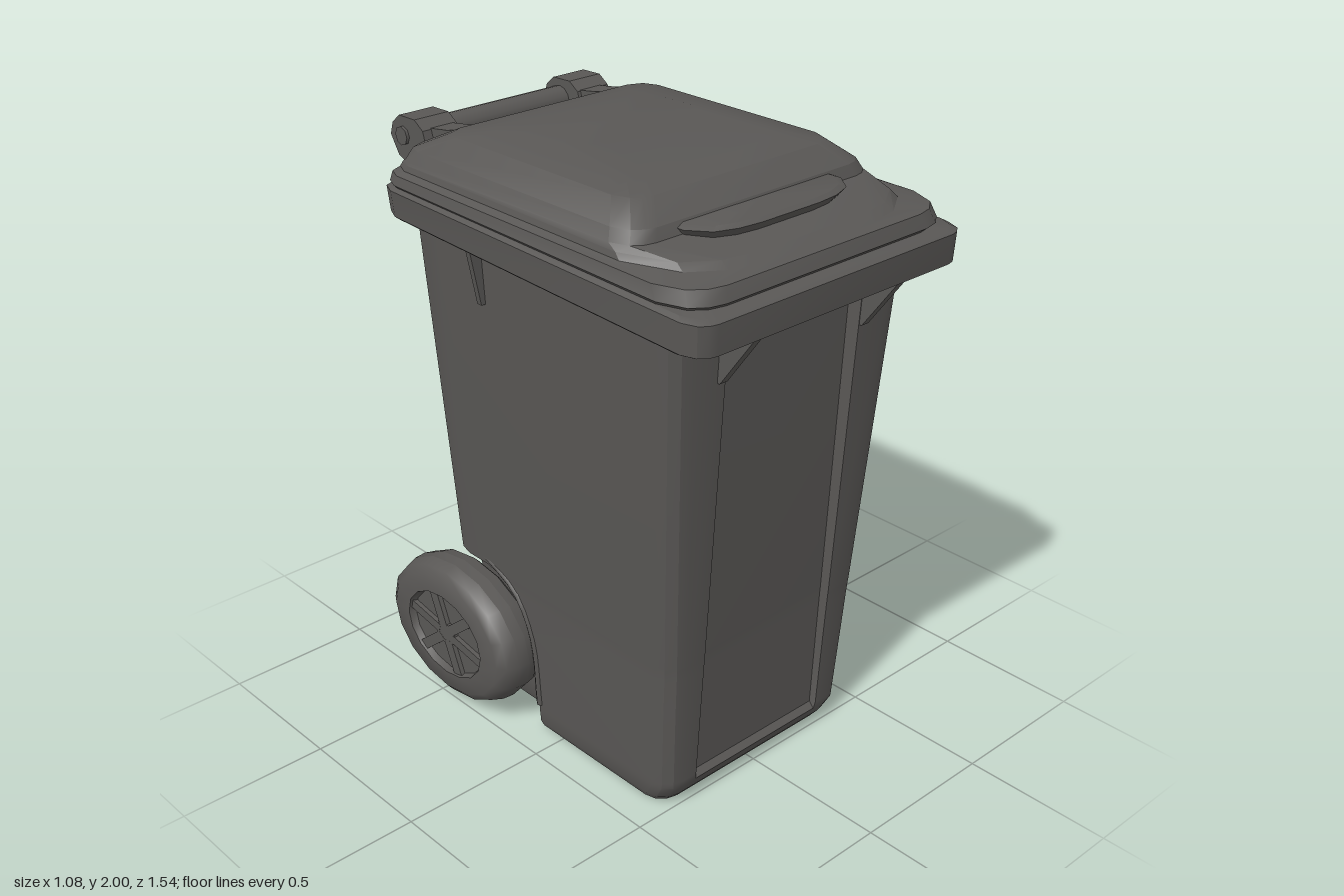
import * as THREE from 'three';
import { toCreasedNormals } from 'three/addons/utils/BufferGeometryUtils.js';

const plastic = new THREE.MeshStandardMaterial({ color: 0x595755 });
plastic.name = 'dark grey plastic';

// Half outline (front to back) mirrored to a closed ring
const mirrorRing = half => [...half, ...half.slice().reverse().map(([x, z]) => [-x, z])];

// Rounded rectangle with separate front corner cut (rx, rz) and back corner radius
function ring({ w, zf, zb, rx = 0.07, rz = rx, rb = 0.07, y, tilt = 0 }) {
  return mirrorRing([
    [w - rx, zf], [w - 0.6 * rx, zf - 0.09 * rz], [w - 0.25 * rx, zf - 0.35 * rz], [w, zf - rz],
    [w, zb + rb], [w - 0.3 * rb, zb + 0.3 * rb], [w - rb, zb],
  ]).map(([x, z]) => [x, y + tilt * z, z]);
}

// Body section: sunk front and back panels (df, db); rear corners cut in by n behind zn for the wheels
function bodyRing({ w, zf, zb, df, db, n = 0, zn, rb, y }) {
  const r = 0.07, v = w - n;
  return mirrorRing([
    [0.268, zf - df], [0.275, zf], [w - r, zf], [w - 0.5 * r, zf - 0.13 * r], [w - 0.13 * r, zf - 0.5 * r],
    [w, zf - r], [w, zn], [v, zn],
    [v, zb + rb], [v - 0.13 * rb, zb + 0.5 * rb], [v - 0.5 * rb, zb + 0.13 * rb], [v - rb, zb],
    [0.29, zb], [0.283, zb + db],
  ]).map(([x, z]) => [x, y, z]);
}

// Skin a stack of rings from bottom to top and cap both ends
function loft(rings, crease = 0.5) {
  const pos = [];
  const tri = (a, b, c) => pos.push(...a, ...b, ...c);
  const mid = r => [0, 1, 2].map(k => {
    const v = r.map(p => p[k]);
    return (Math.min(...v) + Math.max(...v)) / 2;
  });
  const n = rings[0].length, last = rings[rings.length - 1];
  const low = mid(rings[0]), high = mid(last);
  for (let j = 0; j < n; j++) {
    const k = (j + 1) % n;
    tri(low, rings[0][k], rings[0][j]);
    for (let i = 0; i < rings.length - 1; i++) {
      const [a, b, c, d] = [rings[i][j], rings[i][k], rings[i + 1][k], rings[i + 1][j]];
      tri(a, b, c);
      tri(a, c, d);
    }
    tri(high, last[j], last[k]);
  }
  const g = new THREE.BufferGeometry();
  g.setAttribute('position', new THREE.Float32BufferAttribute(pos, 3));
  return toCreasedNormals(g, crease);
}

const flatShape = pts => new THREE.Shape(pts.map(p => new THREE.Vector2(...p)));

// Plate with a (z, y) side profile, centred on x
function sidePlate(pts, x, width) {
  return new THREE.ExtrudeGeometry(flatShape(pts), { depth: width, bevelEnabled: false })
    .rotateY(-Math.PI / 2).translate(x + width / 2, 0, 0);
}

function createWheel() {
  const wheel = new THREE.Group();
  const add = (name, g) => {
    const m = new THREE.Mesh(g, plastic);
    m.name = name;
    wheel.add(m);
  };
  // Tyre with a tapered outer face and shallow rim, axis along x
  const profile = [
    [0, -0.045], [0.55, -0.045], [0.62, -0.075], [0.88, -0.08], [0.97, -0.06], [1, -0.02],
    [0.99, 0.02], [0.94, 0.06], [0.84, 0.08], [0.6, 0.083], [0.57, 0.06], [0, 0.06],
  ].map(p => new THREE.Vector2(...p));
  add('tyre', toCreasedNormals(
    new THREE.LatheGeometry(profile, 16).rotateZ(-Math.PI / 2).toNonIndexed(), 0.6));
  add('hub', new THREE.CylinderGeometry(0.16, 0.16, 0.15, 10).rotateZ(-Math.PI / 2));
  for (let i = 0; i < 6; i++) {
    add('spoke', new THREE.BoxGeometry(0.025, 0.48, 0.13).translate(0.063, 0.34, 0)
      .rotateX(i * Math.PI / 3 + 0.3));
  }
  wheel.scale.set(1, 0.246, 0.326);
  return wheel;
}

export function createModel() {
  const model = new THREE.Group();
  model.name = 'wheeledBin';
  const add = (name, g) => {
    const m = new THREE.Mesh(g, plastic);
    m.name = name;
    model.add(m);
  };

  // Tapered body with sunk panels and wheel cut-outs at the rear
  add('body', loft([
    { y: 0.005, w: 0.38, zf: 0.465, zb: -0.42, df: 0, db: 0.015, n: 0.075, zn: -0.1, rb: 0.01 },
    { y: 0.03, w: 0.393, zf: 0.485, zb: -0.435, df: 0, db: 0.015, n: 0.08, zn: -0.1, rb: 0.01 },
    { y: 0.08, w: 0.397, zf: 0.513, zb: -0.44, df: 0, db: 0.015, n: 0.08, zn: -0.1, rb: 0.01 },
    { y: 0.1, w: 0.398, zf: 0.515, zb: -0.442, df: 0.02, db: 0.015, n: 0.08, zn: -0.1, rb: 0.01 },
    { y: 0.38, w: 0.41, zf: 0.533, zb: -0.468, df: 0.025, db: 0.025, n: 0.09, zn: -0.11, rb: 0.01 },
    { y: 0.5, w: 0.414, zf: 0.541, zb: -0.5, df: 0.027, db: 0.035, n: 0.09, zn: -0.17, rb: 0.01 },
    { y: 0.54, w: 0.416, zf: 0.544, zb: -0.515, df: 0.028, db: 0.04, n: 0.09, zn: -0.28, rb: 0.01 },
    { y: 0.55, w: 0.417, zf: 0.545, zb: -0.518, df: 0.028, db: 0.04, zn: -0.32, rb: 0.1 },
    { y: 1.74, w: 0.482, zf: 0.622, zb: -0.587, df: 0.045, db: 0.04, zn: -0.42, rb: 0.12 },
  ].map(bodyRing)));

  // Rim skirt around the top of the body
  add('rim', loft([
    { w: 0.47, zf: 0.61, zb: -0.57, y: 1.72, tilt: -0.035 },
    { w: 0.525, zf: 0.745, zb: -0.6, y: 1.69, tilt: -0.035 },
    { w: 0.537, zf: 0.765, zb: -0.61, y: 1.70, tilt: -0.035 },
    { w: 0.54, zf: 0.77, zb: -0.62, y: 1.785, tilt: -0.025 },
    { w: 0.525, zf: 0.75, zb: -0.61, y: 1.795, tilt: -0.025 },
  ].map(ring)));

  // Stepped lid rising to a domed panel
  add('lid', loft([
    { w: 0.515, zf: 0.71, zb: -0.59, rx: 0.13, y: 1.785, tilt: -0.02 },
    { w: 0.533, zf: 0.73, zb: -0.61, rx: 0.13, y: 1.805, tilt: -0.02 },
    { w: 0.525, zf: 0.715, zb: -0.605, rx: 0.14, y: 1.84, tilt: -0.01 },
    { w: 0.5, zf: 0.685, zb: -0.6, rx: 0.28, rz: 0.26, y: 1.85, tilt: -0.01 },
    { w: 0.495, zf: 0.655, zb: -0.59, rx: 0.28, rz: 0.25, y: 1.868, tilt: -0.01 },
    { w: 0.488, zf: 0.46, zb: -0.585, rx: 0.09, y: 1.88 },
    { w: 0.47, zf: 0.445, zb: -0.57, rx: 0.09, y: 1.915 },
    { w: 0.405, zf: 0.37, zb: -0.46, rx: 0.08, y: 1.971 },
    { w: 0.32, zf: 0.26, zb: -0.37, rx: 0.08, y: 1.988 },
    { w: 0.26, zf: 0.0, zb: -0.29, rx: 0.08, y: 2.0 },
  ].map(ring), 0.45));

  // Lifting lip at the front of the lid
  add('lidLip', loft([
    { w: 0.28, zf: 0.54, zb: 0.33, rx: 0.18, rz: 0.09, rb: 0.03, y: 1.85 },
    { w: 0.315, zf: 0.575, zb: 0.33, rx: 0.2, rz: 0.1, rb: 0.03, y: 1.898 },
    { w: 0.29, zf: 0.56, zb: 0.36, rx: 0.18, rz: 0.09, rb: 0.03, y: 1.908 },
  ].map(ring)));

  for (const s of [-1, 1]) {
    // Gussets under the rim
    add('frontGusset', sidePlate([[0.58, 1.49], [0.615, 1.49], [0.755, 1.68], [0.6, 1.68]], s * 0.292, 0.03));
    add('sideGusset', new THREE.ExtrudeGeometry(
      flatShape([[s * 0.455, 1.52], [s * 0.485, 1.52], [s * 0.522, 1.71], [s * 0.46, 1.71]]),
      { depth: 0.02, bevelEnabled: false }).translate(0, 0, -0.22));

    // Hinge brackets carrying the handle
    add('hingeBracket', sidePlate([
      [-0.6, 1.79], [-0.67, 1.81], [-0.73, 1.83], [-0.768, 1.89], [-0.755, 1.93],
      [-0.72, 1.96], [-0.64, 1.962], [-0.6, 1.935], [-0.58, 1.87],
    ], s * 0.31, 0.13));
    add('hingeArm', sidePlate([
      [-0.44, 1.9], [-0.46, 1.965], [-0.52, 1.95], [-0.62, 1.935], [-0.62, 1.84], [-0.54, 1.84],
    ], s * 0.3, 0.085));
    add('hingeGusset', sidePlate([
      [-0.55, 1.58], [-0.595, 1.58], [-0.62, 1.66], [-0.72, 1.83], [-0.55, 1.83],
    ], s * 0.312, 0.045));
    add('hingePin', new THREE.CylinderGeometry(0.03, 0.03, 0.15, 8)
      .rotateZ(Math.PI / 2).translate(s * 0.31, 1.9, -0.7));

    // Raised lip over each wheel arch
    const arch = new THREE.CatmullRomCurve3([
      [0.39, 0.1, -0.1], [0.4, 0.36, -0.115], [0.405, 0.5, -0.19], [0.405, 0.565, -0.32], [0.385, 0.583, -0.46],
    ].map(([x, y, z]) => new THREE.Vector3(s * x, y, z)));
    add('wheelArch', new THREE.TubeGeometry(arch, 14, 0.016, 6));

    // Wheels
    const wheel = createWheel();
    wheel.name = s > 0 ? 'leftWheel' : 'rightWheel';
    wheel.position.set(s * 0.445, 0.27, -0.435);
    wheel.rotation.y = s > 0 ? 0 : Math.PI;
    model.add(wheel);
    add('axleCollar', new THREE.CylinderGeometry(0.045, 0.045, 0.08, 10)
      .rotateZ(Math.PI / 2).translate(s * 0.35, 0.27, -0.455));
  }

  // Handle bar with its web to the rim, and the axle
  add('handleBar', new THREE.CylinderGeometry(0.048, 0.048, 0.52, 12).rotateZ(Math.PI / 2).translate(0, 1.89, -0.69));
  add('handleWeb', sidePlate([[-0.59, 1.79], [-0.625, 1.79], [-0.69, 1.85], [-0.66, 1.88], [-0.59, 1.84]], 0, 0.52));
  add('axle', new THREE.CylinderGeometry(0.025, 0.025, 0.8, 10).rotateZ(Math.PI / 2).translate(0, 0.27, -0.46));

  return model;
}
